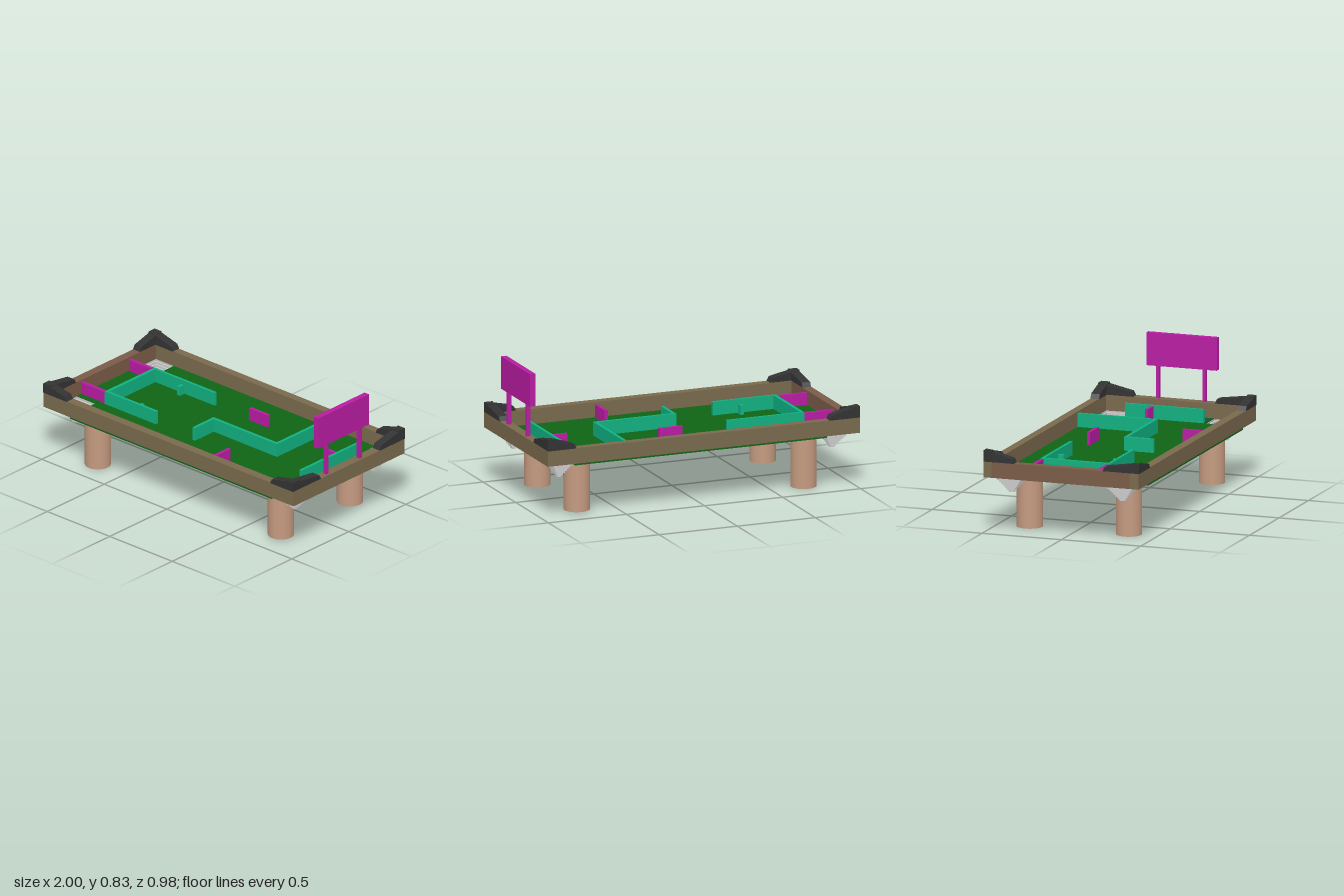
import * as THREE from 'three';

const mat = (color, extra = {}) => new THREE.MeshStandardMaterial({ color, ...extra });

export function createModel() {
  const root = new THREE.Group();
  const wood = mat(0x7a6a4d);
  const endWood = mat(0x7a5b47);
  const green = mat(0x0f6414);
  const darkGreen = mat(0x0e5a28);
  const teal = mat(0x10b080);
  const magenta = mat(0xb81ca2);
  const tan = mat(0xc49a80);
  const dark = mat(0x333333);
  const grey = mat(0xcccccc, { flatShading: true, side: THREE.DoubleSide });

  const add = (name, geometry, material) => {
    const mesh = new THREE.Mesh(geometry, material);
    mesh.name = name;
    root.add(mesh);
    return mesh;
  };

  // Box given by its bounds
  const block = (name, material, x0, x1, y0, y1, z0, z1) => {
    const mesh = add(name, new THREE.BoxGeometry(x1 - x0, y1 - y0, z1 - z0), material);
    mesh.position.set((x0 + x1) / 2, (y0 + y1) / 2, (z0 + z1) / 2);
    return mesh;
  };

  // Frame rails
  block('frontRail', wood, -1, 1, 0.34, 0.435, 0.43, 0.485);
  block('backRail', wood, -1, 1, 0.34, 0.435, -0.49, -0.44);
  block('rightRail', endWood, -1, -0.945, 0.34, 0.435, -0.44, 0.43);
  block('leftRail', wood, 0.942, 1, 0.34, 0.435, -0.44, 0.43);

  // Playing floor, with narrower tongues between the corner pockets
  block('floor', green, -0.8, 0.812, 0.322, 0.342, -0.462, 0.472);
  block('rightFloorEnd', green, -0.945, -0.8, 0.34, 0.346, -0.225, 0.25);
  block('leftFloorEnd', darkGreen, 0.812, 0.942, 0.34, 0.346, -0.272, 0.238);

  // Maze walls: x0, x1, z0, z1
  const walls = [
    [-0.755, -0.26, -0.222, -0.204], [-0.755, -0.733, -0.204, 0.198],
    [-0.755, -0.345, 0.198, 0.216], [0.46, 0.48, -0.44, 0.04],
    [-0.045, 0.48, 0.04, 0.06], [-0.045, -0.025, 0.06, 0.225],
    [0.81, 0.828, -0.272, 0.225],
  ];
  for (const [x0, x1, z0, z1] of walls) block('mazeWall', teal, x0, x1, 0.342, 0.425, z0, z1);
  for (const z of [-0.182, 0.165]) block('mazePost', teal, -0.522, -0.5, 0.342, 0.4, z - 0.018, z + 0.018);

  // Obstacles: x0, x1, z0, z1
  const obstacles = [
    [-0.945, -0.755, -0.225, -0.203], [-0.945, -0.755, 0.192, 0.214],
    [0.022, 0.172, -0.218, -0.198], [0.715, 0.81, -0.11, -0.09],
    [0.292, 0.312, 0.282, 0.43],
  ];
  for (const [x0, x1, z0, z1] of obstacles) block('obstacle', magenta, x0, x1, 0.342, 0.42, z0, z1);

  // Sign board on two posts
  block('signBoard', magenta, 0.953, 0.988, 0.632, 0.83, -0.19, 0.254);
  for (const z of [0.17, -0.121]) block('signPost', magenta, 0.96, 0.985, 0.435, 0.632, z - 0.01, z + 0.01);

  // Legs: x, z, foot height
  for (const [x, z, y] of [[-0.715, 0.32, 0], [0.735, 0.305, 0.008], [-0.715, -0.305, 0], [0.735, -0.3, 0.008]]) {
    const h = 0.324 - y;
    add('leg', new THREE.CylinderGeometry(0.078, 0.078, h, 28), tan).position.set(x, y + h / 2, z);
  }

  // Corner pockets: square funnels that narrow in steps
  const steps = 8;
  const profile = [];
  for (let i = 0; i < steps; i++) {
    const r = THREE.MathUtils.lerp(1, 0.2, i / (steps - 1)) * Math.SQRT1_2;
    profile.push(new THREE.Vector2(r, -i / steps), new THREE.Vector2(r, -(i + 1) / steps));
  }
  profile.push(new THREE.Vector2(0, -1));
  profile.reverse();
  const funnel = new THREE.LatheGeometry(profile, 4);
  funnel.rotateY(Math.PI / 4);
  const pockets = [
    [-0.945, -0.8, -0.44, -0.275], [-0.945, -0.8, 0.255, 0.43],
    [0.812, 0.942, -0.44, -0.275], [0.812, 0.942, 0.24, 0.43],
  ];
  for (const [x0, x1, z0, z1] of pockets) {
    const pocket = add('cornerPocket', funnel, grey);
    pocket.position.set((x0 + x1) / 2, 0.342, (z0 + z1) / 2);
    pocket.scale.set(x1 - x0, 0.105, z1 - z0);
  }

  // Corner guards: two sloping arms that meet at the corner
  const armGeometry = (length, peak) => {
    const side = new THREE.Shape([
      new THREE.Vector2(0, 0), new THREE.Vector2(length, 0),
      new THREE.Vector2(length - 0.015, 0.028), new THREE.Vector2(0.045, peak - 0.006),
      new THREE.Vector2(0, peak),
    ]);
    return new THREE.ExtrudeGeometry(side, { depth: 0.055, bevelEnabled: false });
  };
  // sign of x, sign of z, corner z, arm along x, arm along z, height
  const guards = [
    [-1, 1, 0.488, 0.19, 0.23, 0.06], [1, 1, 0.488, 0.185, 0.245, 0.06],
    [-1, -1, -0.492, 0.195, 0.192, 0.07], [1, -1, -0.492, 0.185, 0.222, 0.07],
  ];
  for (const [sx, sz, z, lx, lz, peak] of guards) {
    const guard = new THREE.Group();
    guard.name = 'cornerGuard';
    const alongX = new THREE.Mesh(armGeometry(lx, peak), dark);
    const alongZ = new THREE.Mesh(armGeometry(lz, peak - 0.001), dark);
    alongZ.rotation.y = -Math.PI / 2;
    alongZ.position.x = 0.055;
    guard.add(alongX, alongZ);
    guard.scale.set(-sx, 1, -sz);
    guard.position.set(sx, 0.434, z);
    root.add(guard);
  }

  return root;
}
